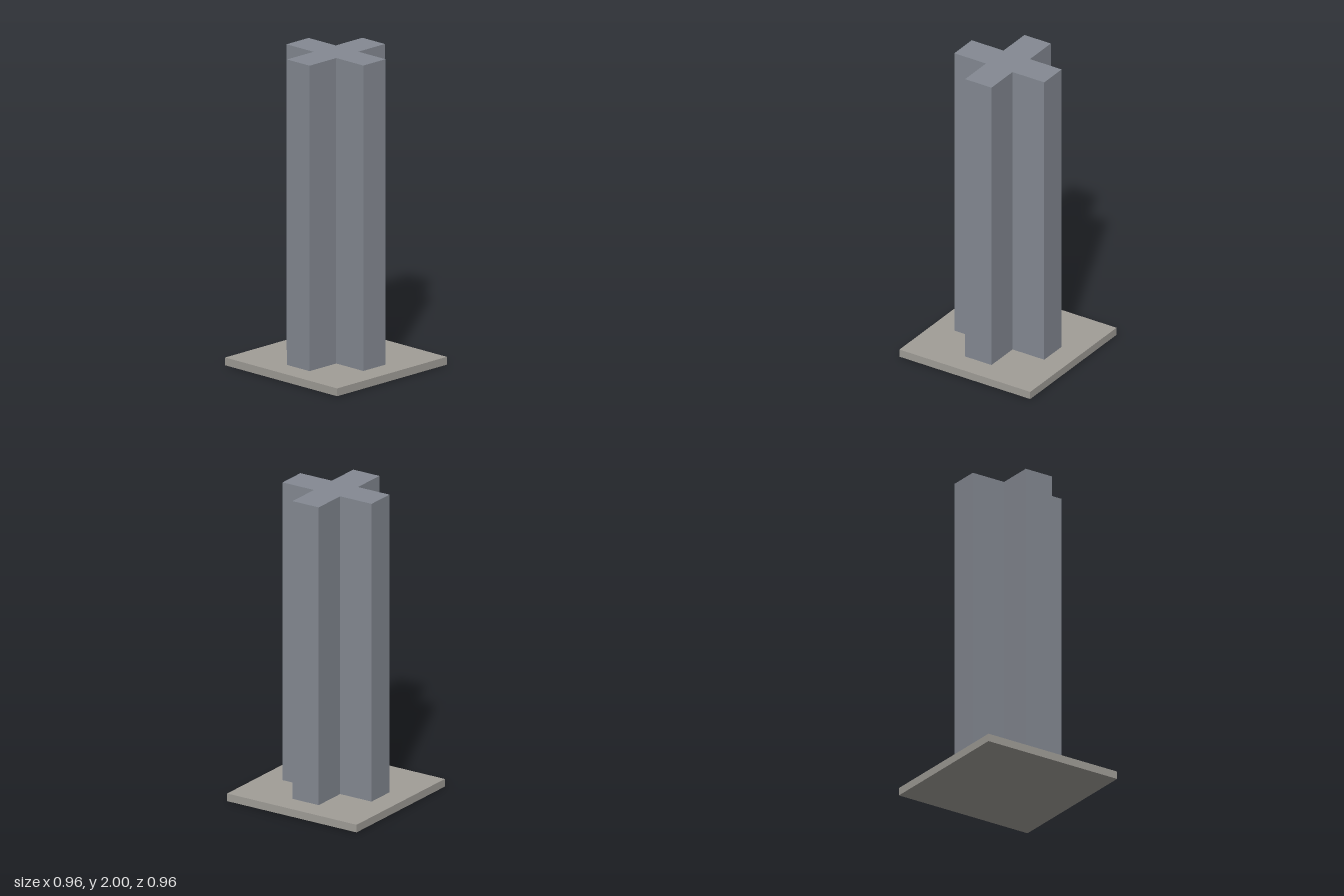
import * as THREE from 'three';

const BASE = 0.96, BASE_H = 0.05, TOP = 2;
const ARM = 0.33, HALF = 0.097; // arm reach and half thickness of the cross

export function createModel() {
  const model = new THREE.Group();
  model.name = 'crossColumn';

  // Square base plate
  const base = new THREE.Mesh(
    new THREE.BoxGeometry(BASE, BASE_H, BASE),
    new THREE.MeshStandardMaterial({ color: 0xa09d97 })
  );
  base.name = 'basePlate';
  base.position.y = BASE_H / 2;
  model.add(base);

  // Cross outline: three corners per arm, turned a quarter four times
  const corners = [];
  for (let i = 0; i < 4; i++) {
    for (const [x, y] of [[ARM, -HALF], [ARM, HALF], [HALF, HALF]]) {
      corners.push(new THREE.Vector2(x, y).rotateAround(new THREE.Vector2(), i * Math.PI / 2));
    }
  }

  // Column extruded upward from the plate
  const geometry = new THREE.ExtrudeGeometry(new THREE.Shape(corners), {
    depth: TOP - BASE_H,
    bevelEnabled: false,
  });
  geometry.rotateX(-Math.PI / 2);
  const column = new THREE.Mesh(geometry, new THREE.MeshStandardMaterial({ color: 0x848992 }));
  column.name = 'column';
  column.position.y = BASE_H;
  model.add(column);

  return model;
}
